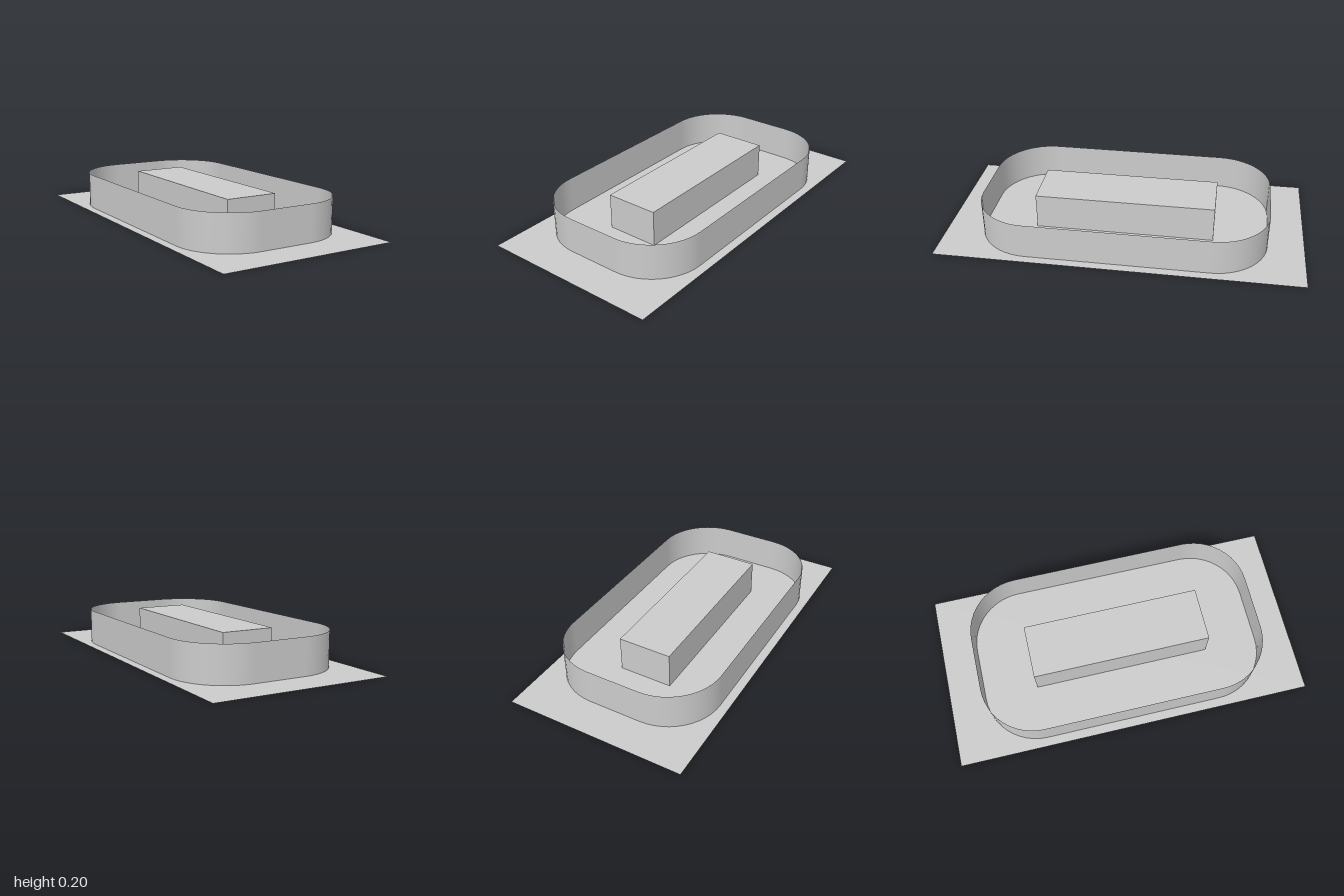
import * as THREE from 'three';

const WIDTH = 0.3, LENGTH = 1.0, HEIGHT = 0.2; // central block
const OFFSET = 0.3;                            // gap between block and wall
const CORNER_STEPS = 12;

// Open vertical wall following the block's outline at a constant distance.
function wallGeometry() {
  const positions = [], normals = [], index = [];
  const centres = [[1, 1], [-1, 1], [-1, -1], [1, -1]];
  centres.forEach(([sx, sz], corner) => {
    for (let i = 0; i <= CORNER_STEPS; i++) {
      const a = (corner + i / CORNER_STEPS) * Math.PI / 2;
      const nx = Math.cos(a), nz = Math.sin(a);
      for (const y of [0, HEIGHT]) {
        positions.push(sx * WIDTH / 2 + nx * OFFSET, y, sz * LENGTH / 2 + nz * OFFSET);
        normals.push(nx, 0, nz);
      }
    }
  });
  const count = positions.length / 6;
  for (let i = 0; i < count; i++) {
    const a = i * 2, b = ((i + 1) % count) * 2;
    index.push(a, a + 1, b, b, a + 1, b + 1);
  }
  const geometry = new THREE.BufferGeometry();
  geometry.setAttribute('position', new THREE.Float32BufferAttribute(positions, 3));
  geometry.setAttribute('normal', new THREE.Float32BufferAttribute(normals, 3));
  geometry.setIndex(index);
  return geometry;
}

export function createModel() {
  const group = new THREE.Group();
  const solid = new THREE.MeshStandardMaterial({ color: 0xcccccc });
  const thin = new THREE.MeshStandardMaterial({ color: 0xcccccc, side: THREE.DoubleSide });

  const add = (name, geometry, material) => {
    const mesh = new THREE.Mesh(geometry, material);
    mesh.name = name;
    group.add(mesh);
  };

  // Flat sheet under everything
  add('groundSheet', new THREE.PlaneGeometry(1, 2).rotateX(-Math.PI / 2), thin);
  // Block in the middle
  add('centreBlock', new THREE.BoxGeometry(WIDTH, HEIGHT, LENGTH).translate(0, HEIGHT / 2, 0), solid);
  // Rounded wall around the block
  add('surroundingWall', wallGeometry(), thin);

  return group;
}
